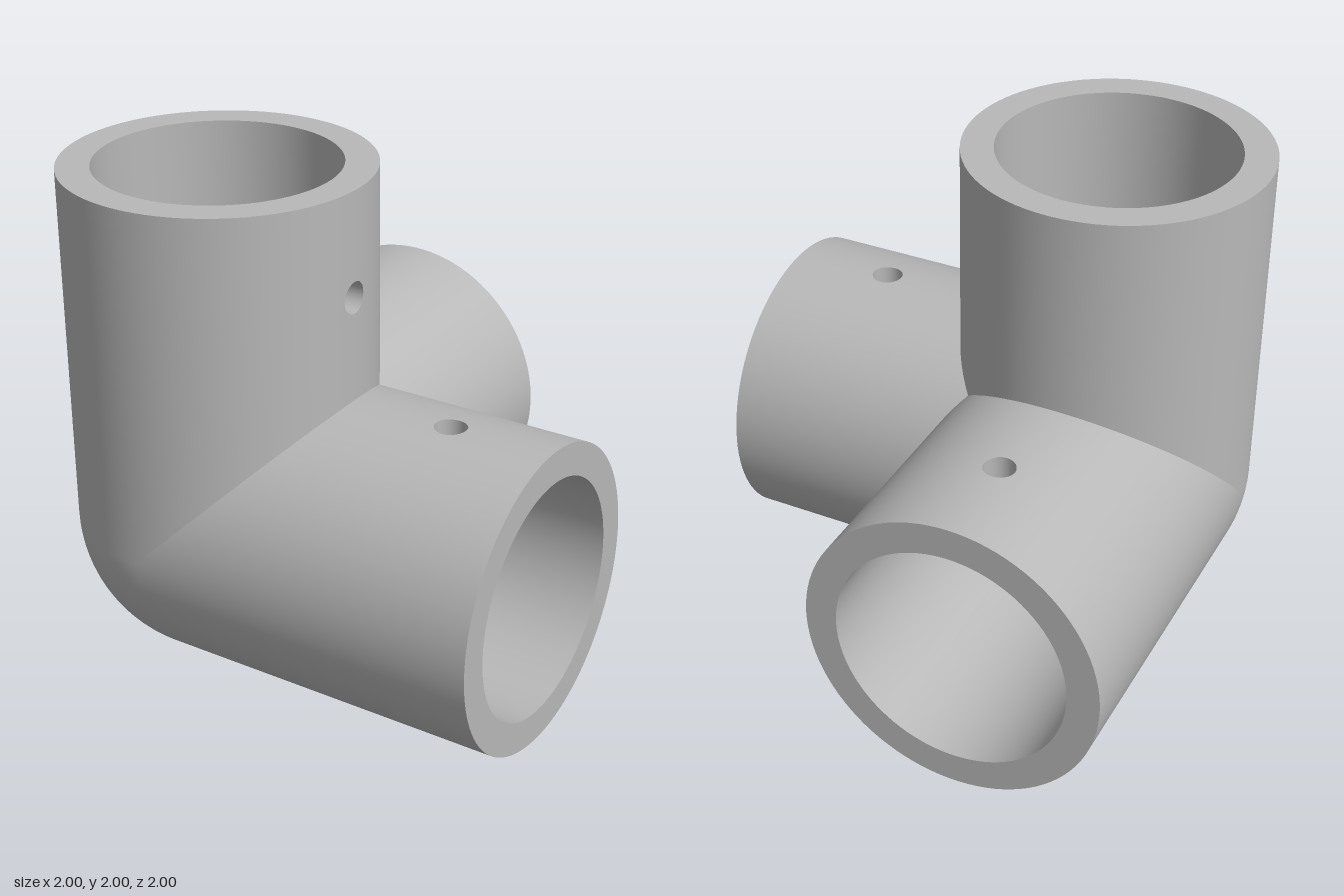
import * as THREE from 'three';

const R = 0.592, RI = 0.465;       // outer and inner pipe radius
const L = 2 - R;                   // arm length from the corner centre
const HOLE_T = 1.0, HOLE_R = 0.062; // screw hole position along the arm, radius
const N = 96, STEP = (2 * Math.PI) / N;
const K = 3, PATCH = 0.1;          // half size of the patch around the hole

// Collects quads of [position, normal] corners, wound to face their normals
function makeSurface(build) {
  const pos = [], nor = [];
  const e1 = new THREE.Vector3(), e2 = new THREE.Vector3(), sum = new THREE.Vector3();
  const tri = (a, b, c) => {
    e1.subVectors(b[0], a[0]);
    e2.subVectors(c[0], a[0]);
    e1.cross(e2);
    if (e1.lengthSq() < 1e-16) return;
    sum.copy(a[1]).add(b[1]).add(c[1]);
    for (const v of e1.dot(sum) < 0 ? [a, c, b] : [a, b, c]) {
      pos.push(...v[0].toArray());
      nor.push(...v[1].toArray());
    }
  };
  build((a, b, c, d) => { tri(a, b, c); tri(a, c, d); });
  const geo = new THREE.BufferGeometry();
  geo.setAttribute('position', new THREE.Float32BufferAttribute(pos, 3));
  geo.setAttribute('normal', new THREE.Float32BufferAttribute(nor, 3));
  return geo;
}

// One arm along `axis`, with a screw hole on its `u` side
function armGeometry(axis, u, v) {
  const radial = (th) => u.clone().multiplyScalar(Math.cos(th)).addScaledVector(v, Math.sin(th));
  const point = (th, t, r) => radial(th).multiplyScalar(r).addScaledVector(axis, t);
  // the arm is mitred against the two others
  const start = (th, r) => r * Math.max(0, Math.cos(th), Math.sin(th));

  return makeSurface((quad) => {
    // pipe walls
    for (const [r, sign] of [[R, 1], [RI, -1]]) {
      const at = (th, t) => [point(th, t, r), radial(th).multiplyScalar(sign)];
      for (let i = -N / 2; i < N / 2; i++) {
        const a = i * STEP, b = a + STEP;
        const strip = (a0, b0, t1) => quad(at(a, a0), at(b, b0), at(b, t1), at(a, t1));
        if (i >= -K && i < K) {
          strip(start(a, r), start(b, r), HOLE_T - PATCH);
          strip(HOLE_T + PATCH, HOLE_T + PATCH, L);
        } else {
          strip(start(a, r), start(b, r), L);
        }
      }
      // square patch around the round hole
      const outer = (k) => {
        const side = Math.floor(k / (2 * K)) % 4, s = (k % (2 * K)) - K;
        const [i, j] = [[s, -K], [K, s], [-s, K], [-K, -s]][side];
        return at(i * STEP, HOLE_T + (j / K) * PATCH);
      };
      const rim = (k) => {
        const phi = -0.75 * Math.PI + (k * Math.PI) / (4 * K);
        return at(Math.asin((HOLE_R * Math.cos(phi)) / r), HOLE_T + HOLE_R * Math.sin(phi));
      };
      for (let k = 0; k < 8 * K; k++) quad(outer(k), outer(k + 1), rim(k + 1), rim(k));
    }
    // ring at the open end
    for (let i = 0; i < N; i++) {
      const a = i * STEP, b = a + STEP;
      quad([point(a, L, RI), axis], [point(a, L, R), axis], [point(b, L, R), axis], [point(b, L, RI), axis]);
    }
    // wall of the screw hole
    const bore = (k, r) => {
      const phi = -0.75 * Math.PI + (k * Math.PI) / (4 * K);
      const c = Math.cos(phi), s = Math.sin(phi);
      const normal = v.clone().multiplyScalar(-c).addScaledVector(axis, -s);
      return [point(Math.asin((HOLE_R * c) / r), HOLE_T + HOLE_R * s, r), normal];
    };
    for (let k = 0; k < 8 * K; k++) quad(bore(k, R), bore(k + 1, R), bore(k + 1, RI), bore(k, RI));
  });
}

// Eighth of a sphere closing the corner; sign -1 faces inwards
function cornerGeometry(r, sign) {
  const n = N / 4;
  const at = (i, j) => {
    const p = i * STEP, q = j * STEP;
    const d = new THREE.Vector3(-Math.sin(p) * Math.cos(q), -Math.cos(p), Math.sin(p) * Math.sin(q));
    return [d.clone().multiplyScalar(r), d.multiplyScalar(sign)];
  };
  return makeSurface((quad) => {
    for (let i = 0; i < n; i++)
      for (let j = 0; j < n; j++) quad(at(i, j), at(i + 1, j), at(i + 1, j + 1), at(i, j + 1));
  });
}

export function createModel() {
  const group = new THREE.Group();
  group.name = 'cornerPipeFitting';
  const grey = new THREE.MeshStandardMaterial({ color: 0xb8b8b8 });
  grey.name = 'grey';

  const add = (name, geometry) => {
    const mesh = new THREE.Mesh(geometry, grey);
    mesh.name = name;
    mesh.position.set(R - 1, R, 1 - R);
    group.add(mesh);
  };
  const x = new THREE.Vector3(1, 0, 0);
  const y = new THREE.Vector3(0, 1, 0);
  const back = new THREE.Vector3(0, 0, -1);

  add('sideSocket', armGeometry(x, y, back));
  add('topSocket', armGeometry(y, x, back));
  add('rearSocket', armGeometry(back, y, x));
  add('outerCorner', cornerGeometry(R, 1));
  add('innerCorner', cornerGeometry(RI, -1));
  return group;
}
